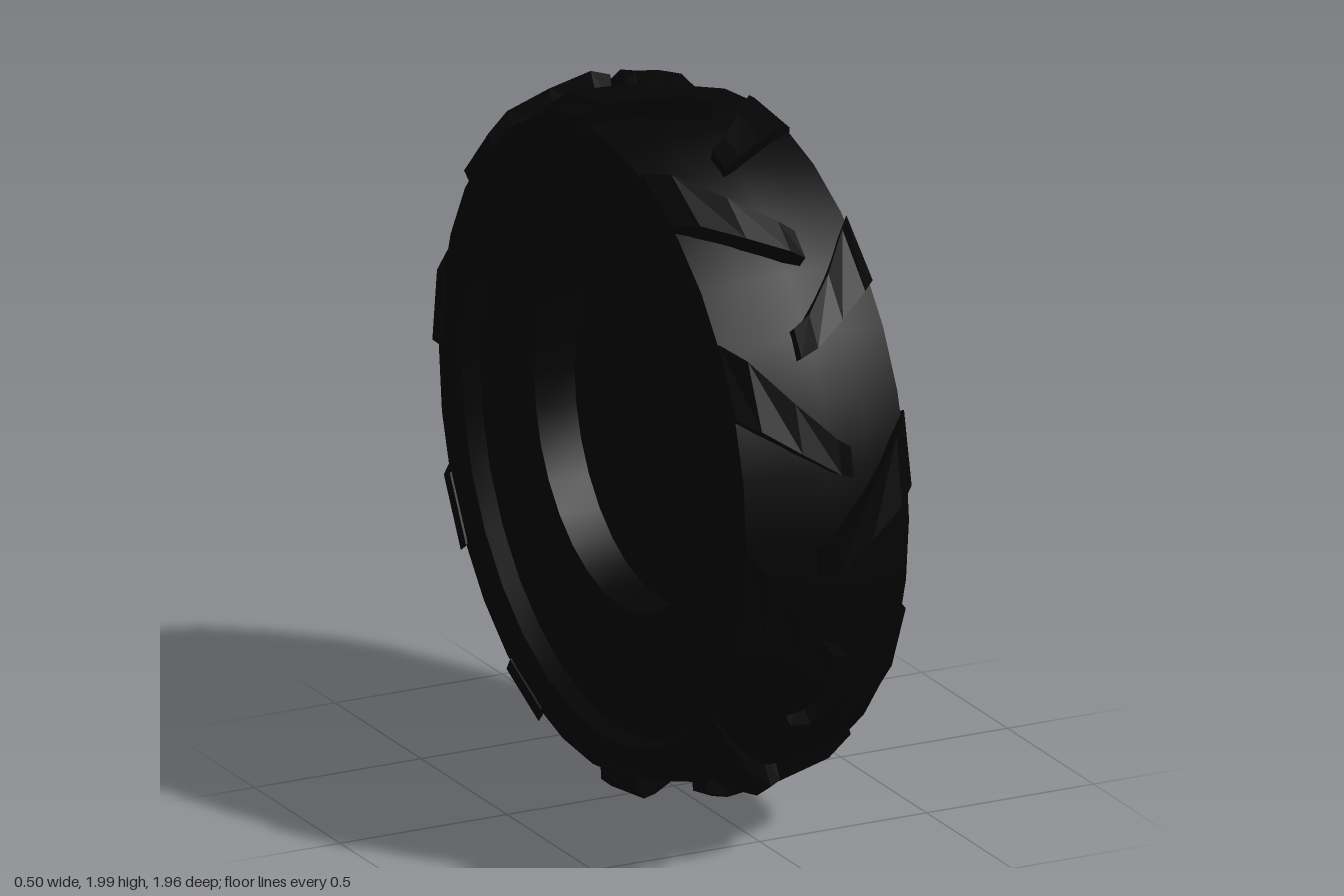
import * as THREE from 'three';
import { toCreasedNormals } from 'three/addons/utils/BufferGeometryUtils.js';

const rubber = new THREE.MeshStandardMaterial({ color: 0x040404 });
const metal = new THREE.MeshStandardMaterial({ color: 0x565656 });
const LUGS = 10;
const rad = THREE.MathUtils.degToRad;

// Turned part around the x axis; profile points are [radius, x].
// The rim seat (radius 0.4 to 0.6) sits slightly off the axle.
function turned(profile, segments, crease) {
  const geo = new THREE.LatheGeometry(profile.map(([r, x]) => new THREE.Vector2(r, x)), segments);
  geo.rotateZ(-Math.PI / 2);
  const p = geo.attributes.position;
  for (let i = 0; i < p.count; i++) {
    const r = Math.hypot(p.getY(i), p.getZ(i));
    if (r > 0.4 && r < 0.6) p.setXYZ(i, p.getX(i), p.getY(i) + 0.03, p.getZ(i) - 0.02);
  }
  return toCreasedNormals(geo, crease);
}

// Tread bar swept from a narrow tip past the middle to a broad shoulder end.
// side: +1 or -1, the half of the tread it lies on; drop: lowers its top.
function lugGeometry(side, drop) {
  // [distance across, angle in degrees, top radius, angular width]
  const stations = [
    [-0.045, 0, 0.977, 5], [0, 1, 0.997, 5.5], [0.1, 5, 0.98, 8],
    [0.2, 9.5, 0.957, 11.5], [0.251, 12, 0.918, 13],
  ];
  const positions = [];
  const index = [];
  for (const [u, angle, top, width] of stations) {
    const r1 = top - drop;
    const corners = [[angle, 0.88], [angle, r1], [angle + width, r1], [angle + width, 0.88]];
    for (const [a, r] of corners) {
      positions.push(side * u, r * Math.sin(rad(a)), r * Math.cos(rad(a)));
    }
  }
  const quad = (a, b, c, d) => {
    if (side > 0) index.push(a, b, c, a, c, d);
    else index.push(a, c, b, a, d, c);
  };
  for (let s = 0; s < stations.length - 1; s++) {
    for (let k = 0; k < 4; k++) {
      const a = s * 4 + k, b = s * 4 + (k + 1) % 4;
      quad(a, a + 4, b + 4, b);
    }
  }
  const e = (stations.length - 1) * 4;
  quad(0, 1, 2, 3);
  quad(e + 3, e + 2, e + 1, e);
  const geo = new THREE.BufferGeometry();
  geo.setAttribute('position', new THREE.Float32BufferAttribute(positions, 3));
  geo.setIndex(index);
  const flat = geo.toNonIndexed();
  flat.computeVertexNormals();
  return flat;
}

function addMesh(parent, name, geometry, material) {
  const mesh = new THREE.Mesh(geometry, material);
  mesh.name = name;
  parent.add(mesh);
  return mesh;
}

export function createModel() {
  const model = new THREE.Group();
  model.name = 'wheel';
  const wheel = new THREE.Group();
  wheel.name = 'wheelAssembly';
  wheel.position.y = 1;
  model.add(wheel);

  // Tyre: stepped, hollowed inner side, crowned tread, flat outer sidewall
  addMesh(wheel, 'tyre', turned([
    [0, -0.03], [0.5, -0.03], [0.5, -0.15], [0.8, -0.17], [0.82, -0.215], [0.88, -0.245],
    [0.895, -0.243], [0.925, -0.12], [0.935, 0], [0.925, 0.12],
    [0.897, 0.243], [0.54, 0.243],
  ], 32, rad(35)), rubber);

  // Dished wheel disc on the outer side
  addMesh(wheel, 'disc', turned([[0.54, 0.243], [0.2, 0.2], [0, 0.2]], 32, rad(35)), metal);

  // Hub cap
  const hub = new THREE.CylinderGeometry(0.2, 0.2, 0.1, 32);
  hub.rotateZ(-Math.PI / 2);
  addMesh(wheel, 'hub', hub, metal).position.x = 0.204;

  // Tread bars: two staggered, mirrored rows
  const rows = [[-1, 'rightTread', 10, 0], [1, 'leftTread', -6, 0.016]];
  for (const [side, name, start, drop] of rows) {
    const row = new THREE.Group();
    row.name = name;
    const geo = lugGeometry(side, drop);
    for (let i = 0; i < LUGS; i++) {
      addMesh(row, 'treadBar', geo, rubber).rotation.x = -rad(start + i * 360 / LUGS);
    }
    wheel.add(row);
  }
  return model;
}
